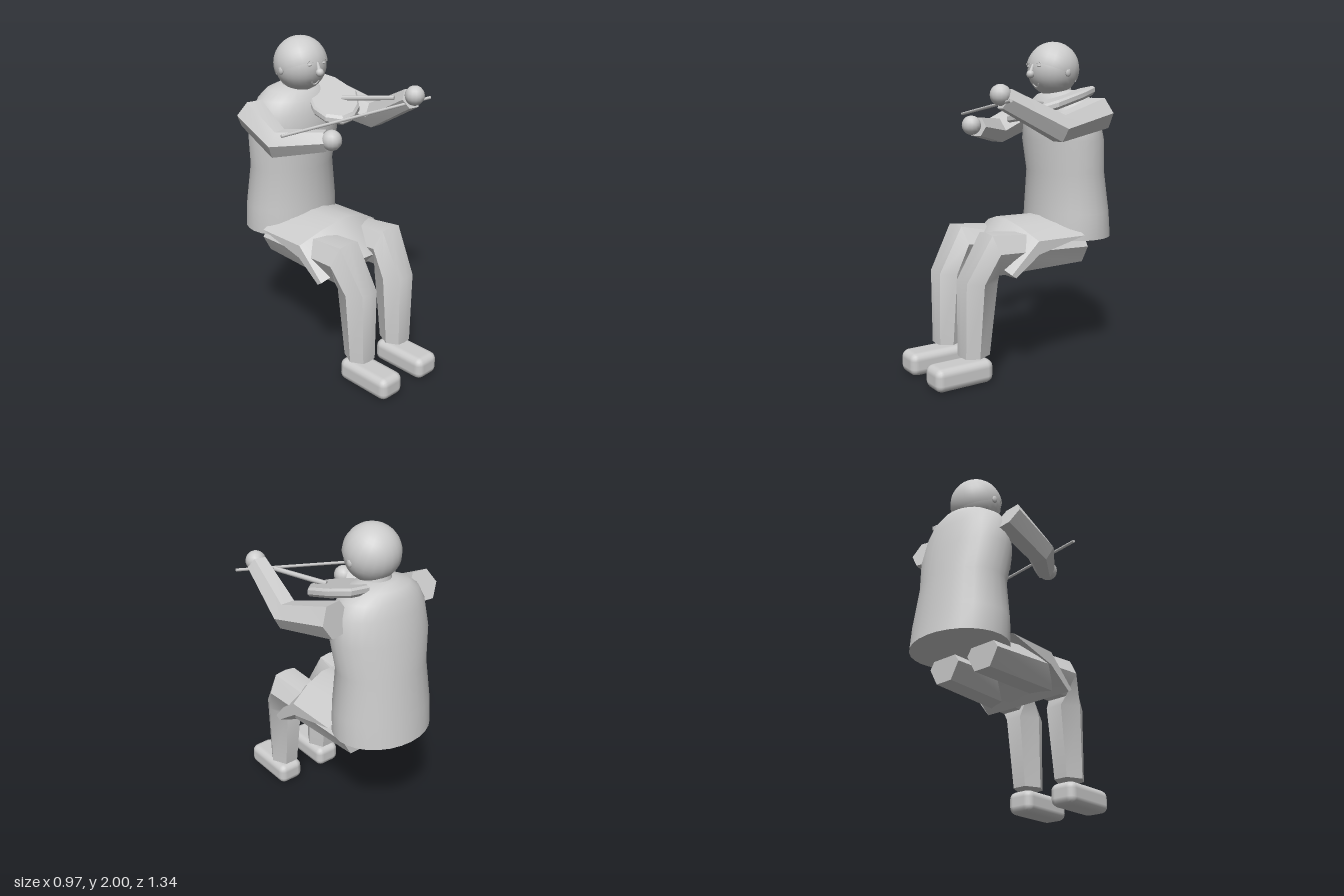
import * as THREE from 'three';
import { toCreasedNormals } from 'three/addons/utils/BufferGeometryUtils.js';
import { RoundedBoxGeometry } from 'three/addons/geometries/RoundedBoxGeometry.js';

const V = (x, y, z) => new THREE.Vector3(x, y, z);
const HEX = [[1, 0], [.5, .87], [-.5, .87], [-1, 0], [-.5, -.87], [.5, -.87]];
const LEG = [[1, .1], [.55, .93], [0, 1], [-.55, .93], [-1, .1], [-.5, -1], [.5, -1]];
const ROUND = Array.from({ length: 28 }, (_, i) => {
  const a = i / 28 * Math.PI * 2;
  return [Math.cos(a), Math.sin(a)];
});

// Ring of points around c, spanned by the half-axes u and v
const ring = (shape, c, u, v) =>
  shape.map(([a, b]) => c.clone().addScaledVector(u, a).addScaledVector(v, b));

// Closed skin through a list of rings, with capped ends
function loft(rings, crease = 0.6) {
  const pos = [];
  const tri = (...p) => p.forEach((q) => pos.push(q.x, q.y, q.z));
  const n = rings[0].length;
  for (let i = 0; i < rings.length - 1; i++) {
    for (let j = 0; j < n; j++) {
      const k = (j + 1) % n, a = rings[i], b = rings[i + 1];
      tri(a[j], a[k], b[k]);
      tri(a[j], b[k], b[j]);
    }
  }
  [[rings[0], true], [rings[rings.length - 1], false]].forEach(([r, flip]) => {
    const c = r.reduce((s, p) => s.add(p), V(0, 0, 0)).divideScalar(n);
    for (let j = 0; j < n; j++) {
      const k = (j + 1) % n;
      flip ? tri(c, r[k], r[j]) : tri(c, r[j], r[k]);
    }
  });
  const g = new THREE.BufferGeometry();
  g.setAttribute('position', new THREE.Float32BufferAttribute(pos, 3));
  return toCreasedNormals(g, crease);
}

// Six-sided limb along a path of [point, radius]
function limb(path) {
  const rings = path.map(([p, r], i) => {
    const prev = path[Math.max(i - 1, 0)][0], next = path[Math.min(i + 1, path.length - 1)][0];
    const t = next.clone().sub(prev).normalize();
    const u = V(0, 1, 0).cross(t).normalize();
    const v = t.clone().cross(u);
    return ring(HEX, p, u.multiplyScalar(r), v.multiplyScalar(r));
  });
  return loft(rings, 0.4);
}

// Straight rod between two points
function rod(a, b, r0, r1, sides) {
  const d = b.clone().sub(a);
  const g = new THREE.CylinderGeometry(r1, r0, d.length(), sides);
  g.applyQuaternion(new THREE.Quaternion().setFromUnitVectors(V(0, 1, 0), d.clone().normalize()));
  const m = a.clone().add(b).multiplyScalar(0.5);
  return g.translate(m.x, m.y, m.z);
}

export function createModel() {
  const model = new THREE.Group();
  const grey = new THREE.MeshStandardMaterial({ color: 0xcccccc, side: THREE.DoubleSide });
  grey.name = 'grey';
  const add = (name, geo, x = 0, y = 0, z = 0) => {
    const m = new THREE.Mesh(geo, grey);
    m.name = name;
    m.position.set(x, y, z);
    model.add(m);
    return m;
  };

  // Coat body: height, half width, front z, back z
  const torso = [
    [.79, .315, -.15, -.67], [.95, .315, -.16, -.65], [1.2, .285, -.17, -.62],
    [1.4, .315, -.15, -.595], [1.55, .295, -.16, -.56], [1.63, .25, -.19, -.535],
    [1.68, .18, -.23, -.505], [1.705, .09, -.29, -.46],
  ].map(([y, w, f, b]) => ring(ROUND, V(0, y, (f + b) / 2), V(w, 0, 0), V(0, 0, -(f - b) / 2)));
  add('torso', loft(torso, 0.9));

  // Coat hem over the lap: profiles of [z, y] blended from centre to edge
  const mid = [[-.3, .93], [.09, .935], [.27, .73], [.11, .59], [-.05, .77]];
  const edge = [[-.31, .83], [.03, .83], [.22, .65], [.19, .63], [0, .81]];
  const lap = [[-.32, 1], [-.18, .35], [-.05, 0], [.05, 0], [.18, .35], [.32, 1]].map(([x, t]) =>
    mid.map(([z, y], i) => V(x, y + (edge[i][1] - y) * t, z + (edge[i][0] - z) * t)));
  add('coatHem', loft(lap));

  // Head, hair and neck
  const hz = -.295;
  add('head', new THREE.SphereGeometry(.157, 24, 16), 0, 1.827, hz);
  const hair = add('hair', new THREE.SphereGeometry(.165, 20, 12, 0, Math.PI * 2, 0, Math.PI * .555), 0, 1.835, hz);
  hair.rotation.x = -.38;
  add('neck', new THREE.CylinderGeometry(.08, .11, .14, 16), 0, 1.68, -.33);

  // Face
  add('noseBridge', rod(V(0, 1.86, -.145), V(0, 1.80, -.125), .008, .016, 8));
  add('nose', new THREE.SphereGeometry(.025, 12, 8), 0, 1.80, -.125);
  const mouth = add('mouth', new THREE.TorusGeometry(.026, .004, 5, 10, Math.PI), 0, 1.745, -.163);
  mouth.rotation.set(.5, 0, Math.PI);

  for (const s of [-1, 1]) {
    const side = s > 0 ? 'left' : 'right';
    const brow = add(side + 'Brow', new THREE.TorusGeometry(.026, .004, 5, 8, Math.PI * .7), s * .055, 1.848, -.15);
    brow.rotation.z = Math.PI * .15;
    const eye = add(side + 'Eye', new THREE.SphereGeometry(.017, 10, 6), s * .055, 1.848, -.151);
    eye.scale.set(1, .4, .5);
    const ear = add(side + 'Ear', new THREE.SphereGeometry(.026, 10, 8), s * .157, 1.81, hz);
    ear.scale.set(.45, 1, .8);

    // Bent leg: centre x, half width, then front/top and back/bottom as [z, y]
    const leg = [
      [.15, .115, [-.38, .83], [-.38, .64]], [.18, .13, [.31, .89], [.26, .64]],
      [.16, .108, [.47, .61], [.25, .59]], [.158, .09, [.47, .16], [.30, .16]],
    ].map(([x, w, f, b]) => ring(LEG, V(s * x, (f[1] + b[1]) / 2, (f[0] + b[0]) / 2),
      V(w, 0, 0), V(0, (f[1] - b[1]) / 2, (f[0] - b[0]) / 2)));
    add(side + 'Leg', loft(leg));
    add(side + 'Shoe', new RoundedBoxGeometry(.175, .14, .38, 2, .045), s * .16, .07, .48);
  }

  // Arms and hands
  add('rightArm', limb([[V(-.33, 1.57, -.37), .1], [V(-.355, 1.445, -.1), .09], [V(-.2, 1.48, .14), .065]]));
  add('rightHand', new THREE.SphereGeometry(.06, 14, 10), -.195, 1.49, .18);
  add('leftArm', limb([[V(.335, 1.57, -.4), .105], [V(.4, 1.49, -.05), .088], [V(.35, 1.66, .29), .068]]));
  add('leftHand', new THREE.SphereGeometry(.06, 14, 10), .35, 1.68, .315);

  // Fiddle body: outline in plan, then sheared to its slope
  const outline = [[.13, -.42], [.25, -.42], [.3, -.3], [.3, -.12], [.2, .0], [.11, .05],
    [.02, .05], [-.05, -.02], [-.05, -.12], [.03, -.27]].map(([x, z]) => new THREE.Vector2(x, -z));
  const fiddle = new THREE.ExtrudeGeometry(new THREE.Shape(outline), {
    depth: .025, bevelEnabled: true, bevelThickness: .015, bevelSize: .012, bevelSegments: 1, bevelOffset: -.006,
  });
  fiddle.rotateX(-Math.PI / 2);
  const p = fiddle.attributes.position;
  for (let i = 0; i < p.count; i++) {
    p.setY(i, p.getY(i) + 1.605 + .12 * (p.getX(i) - .12) - .3 * (p.getZ(i) + .18));
  }
  add('fiddleBody', toCreasedNormals(fiddle, 0.5));
  add('fiddleNeck', rod(V(.16, 1.625, -.1), V(.3, 1.655, .2), .016, .014, 6));
  add('bow', rod(V(-.48, 1.55, .08), V(.477, 1.65, .33), .009, .009, 8));

  return model;
}
